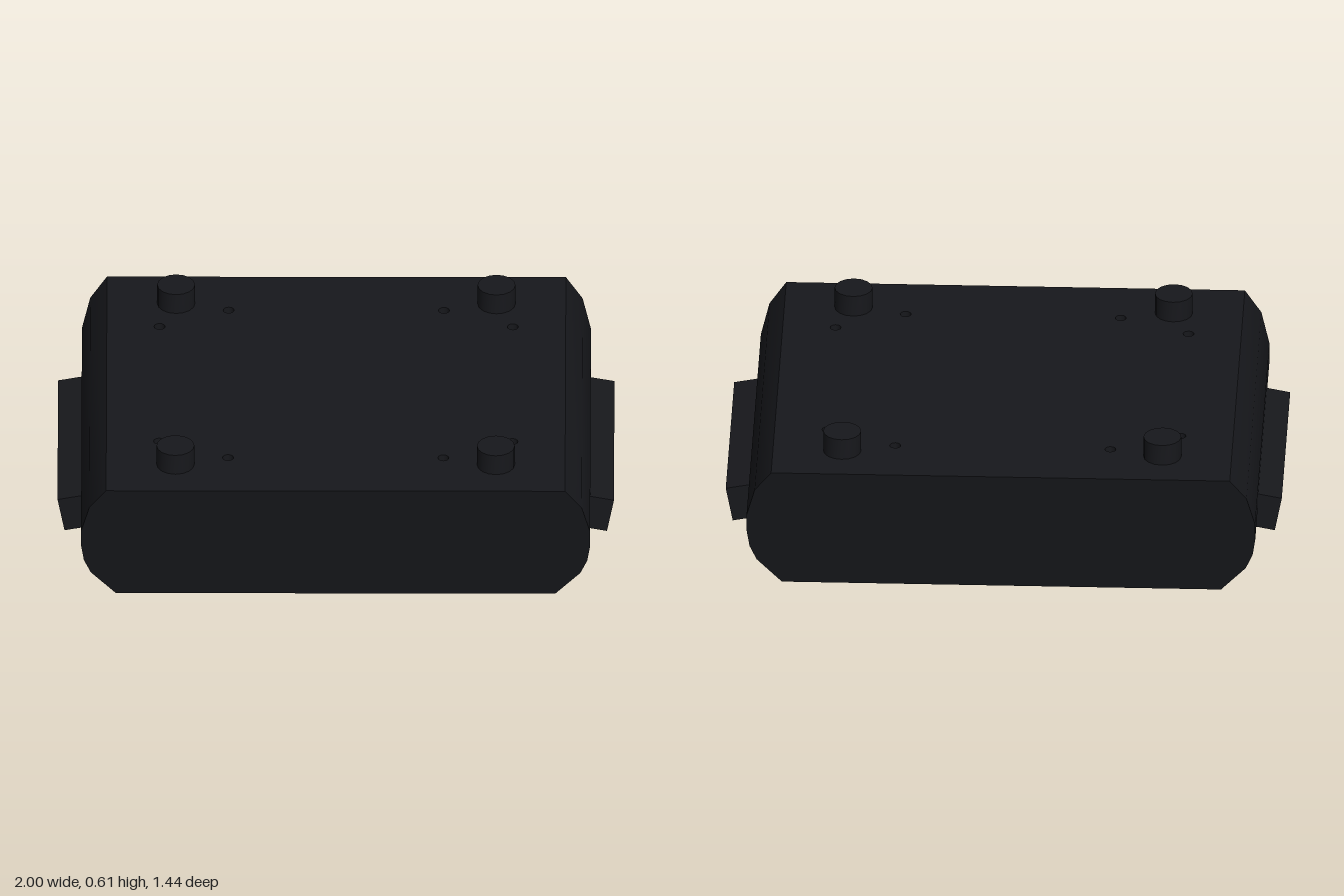
import * as THREE from 'three';
import { toCreasedNormals } from 'three/addons/utils/BufferGeometryUtils.js';

const TOP = 0.525, BOTTOM = 0.03;

export function createModel() {
  const group = new THREE.Group();
  const mat = new THREE.MeshStandardMaterial({ color: 0x17181c });
  const inner = new THREE.MeshStandardMaterial({ color: 0x17181c, side: THREE.DoubleSide });

  const add = (name, geo, x = 0, y = 0, z = 0, material = mat) => {
    const mesh = new THREE.Mesh(geo, material);
    mesh.name = name;
    mesh.position.set(x, y, z);
    group.add(mesh);
    return mesh;
  };

  // Body: rounded-side profile, ends flaring outwards towards the top
  const side = [[0.79, BOTTOM], [0.88, 0.13], [0.905, 0.19], [0.915, 0.26],
    [0.915, 0.33], [0.885, 0.445], [0.825, TOP]];
  const outline = [...side, ...side.map(([x, y]) => [-x, y]).reverse()];
  const profile = new THREE.Shape(outline.map(([x, y]) => new THREE.Vector2(x, y)));
  let body = new THREE.ExtrudeGeometry(profile, { depth: 2, bevelEnabled: false });
  const halfDepth = (y) => 0.625 + (y - BOTTOM) * 0.19;
  const pos = body.attributes.position;
  for (let i = 0; i < pos.count; i++) {
    pos.setZ(i, (pos.getZ(i) - 1) * halfDepth(pos.getY(i)));
  }
  // Drop the flat top so that a drilled top plate can close it
  const kept = [];
  for (let i = 0; i < pos.count; i += 3) {
    const isTop = [0, 1, 2].every((k) => pos.getY(i + k) > TOP - 1e-4);
    if (isTop) continue;
    for (let k = 0; k < 3; k++) kept.push(pos.getX(i + k), pos.getY(i + k), pos.getZ(i + k));
  }
  body = new THREE.BufferGeometry();
  body.setAttribute('position', new THREE.Float32BufferAttribute(kept, 3));
  add('body', toCreasedNormals(body, 0.55));

  // Top plate with small screw holes
  const w = 0.825, d = halfDepth(TOP), holeR = 0.02, holeDepth = 0.04;
  const plate = new THREE.Shape([[-w, -d], [w, -d], [w, d], [-w, d]].map(([x, z]) => new THREE.Vector2(x, z)));
  const holes = [];
  for (const sx of [-1, 1]) for (const sz of [-1, 1]) {
    holes.push([sx * 0.387, sz * 0.495], [sx * 0.635, sz * 0.385]);
  }
  for (const [x, z] of holes) {
    plate.holes.push(new THREE.Path().absarc(x, -z, holeR, 0, Math.PI * 2, true));
  }
  add('topPlate', new THREE.ShapeGeometry(plate, 6).rotateX(-Math.PI / 2), 0, TOP, 0);
  for (const [x, z] of holes) {
    add('screwHoleWall', new THREE.CylinderGeometry(holeR, holeR, holeDepth, 12, 1, true),
      x, TOP - holeDepth / 2, z, inner);
    add('screwHoleFloor', new THREE.CircleGeometry(holeR, 12).rotateX(-Math.PI / 2), x, TOP - holeDepth, z);
  }

  // Four round feet on the top
  for (const sx of [-1, 1]) for (const sz of [-1, 1]) {
    const foot = new THREE.CylinderGeometry(0.068, 0.068, 0.095, 16);
    add('foot', toCreasedNormals(foot, 0.6), sx * 0.576, 0.5575, sz * 0.54);
  }

  // Tilted grip bars along both sides
  for (const s of [-1, 1]) {
    const bar = add('sideGrip', new THREE.BoxGeometry(0.14, 0.133, 0.8), s * 0.919, 0.233, 0);
    bar.rotation.z = -s * 0.19;
  }

  // Round button under the bottom
  add('bottomDisc', toCreasedNormals(new THREE.CylinderGeometry(0.137, 0.137, 0.04, 32), 0.6), 0, 0.02, 0);

  return group;
}
